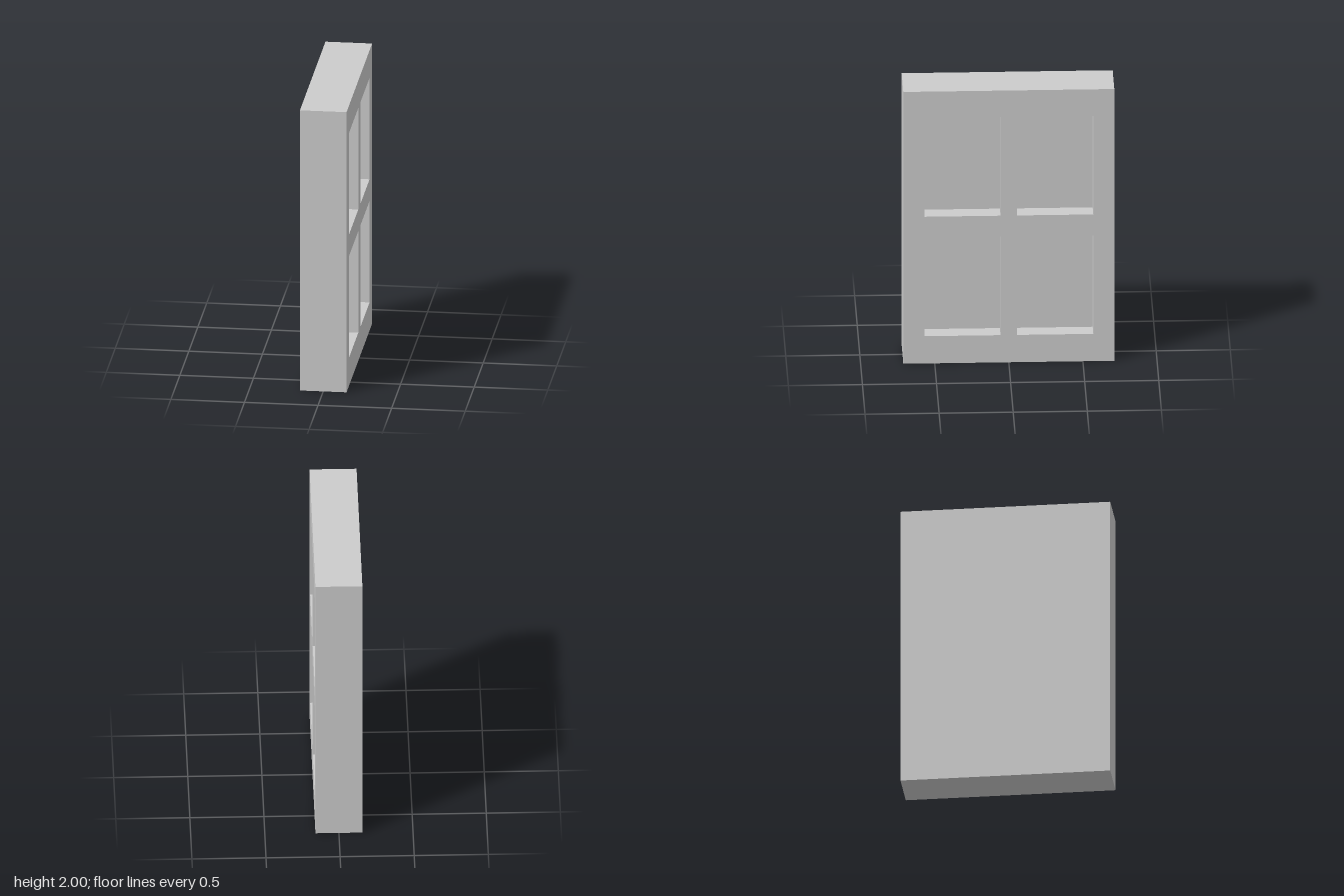
import * as THREE from 'three';

const THICK = 0.317, HEIGHT = 2, WIDTH = 1.424;
const RECESS = { depth: 0.12, height: 0.725, width: 0.514 };
const RECESS_Z = [-0.313, 0.313];
const RECESS_Y = [0.563, 1.442];

// Box without its +x side; inward turns the remaining faces to the inside
function openBox(w, h, d, inward = false) {
  const geometry = new THREE.BoxGeometry(w, h, d);
  const index = Array.from(geometry.index.array).slice(6);
  geometry.setIndex(inward ? index.reverse() : index);
  geometry.clearGroups();
  geometry.computeVertexNormals();
  return geometry;
}

// Adds a rectangle centred on (x, y) to a shape or path
function rectangle(path, x, y, w, h) {
  path.moveTo(x - w / 2, y - h / 2);
  path.lineTo(x + w / 2, y - h / 2);
  path.lineTo(x + w / 2, y + h / 2);
  path.lineTo(x - w / 2, y + h / 2);
  path.closePath();
  return path;
}

export function createModel() {
  const group = new THREE.Group();
  group.name = 'panelledSlab';
  const material = new THREE.MeshStandardMaterial({ color: 0xcccccc });

  function add(name, geometry, x, y, z) {
    const mesh = new THREE.Mesh(geometry, material);
    mesh.name = name;
    mesh.position.set(x, y, z);
    group.add(mesh);
  }

  // Back and edges of the slab
  add('slab', openBox(THICK, HEIGHT, WIDTH), 0, HEIGHT / 2, 0);

  // Frame face with four openings, and a sunken panel behind each opening
  const face = rectangle(new THREE.Shape(), 0, HEIGHT / 2, WIDTH, HEIGHT);
  for (const y of RECESS_Y) {
    for (const z of RECESS_Z) {
      face.holes.push(rectangle(new THREE.Path(), -z, y, RECESS.width, RECESS.height));
      add('recessedPanel', openBox(RECESS.depth, RECESS.height, RECESS.width, true),
        (THICK - RECESS.depth) / 2, y, z);
    }
  }
  add('frameFace', new THREE.ShapeGeometry(face).rotateY(Math.PI / 2), THICK / 2, 0, 0);

  return group;
}
